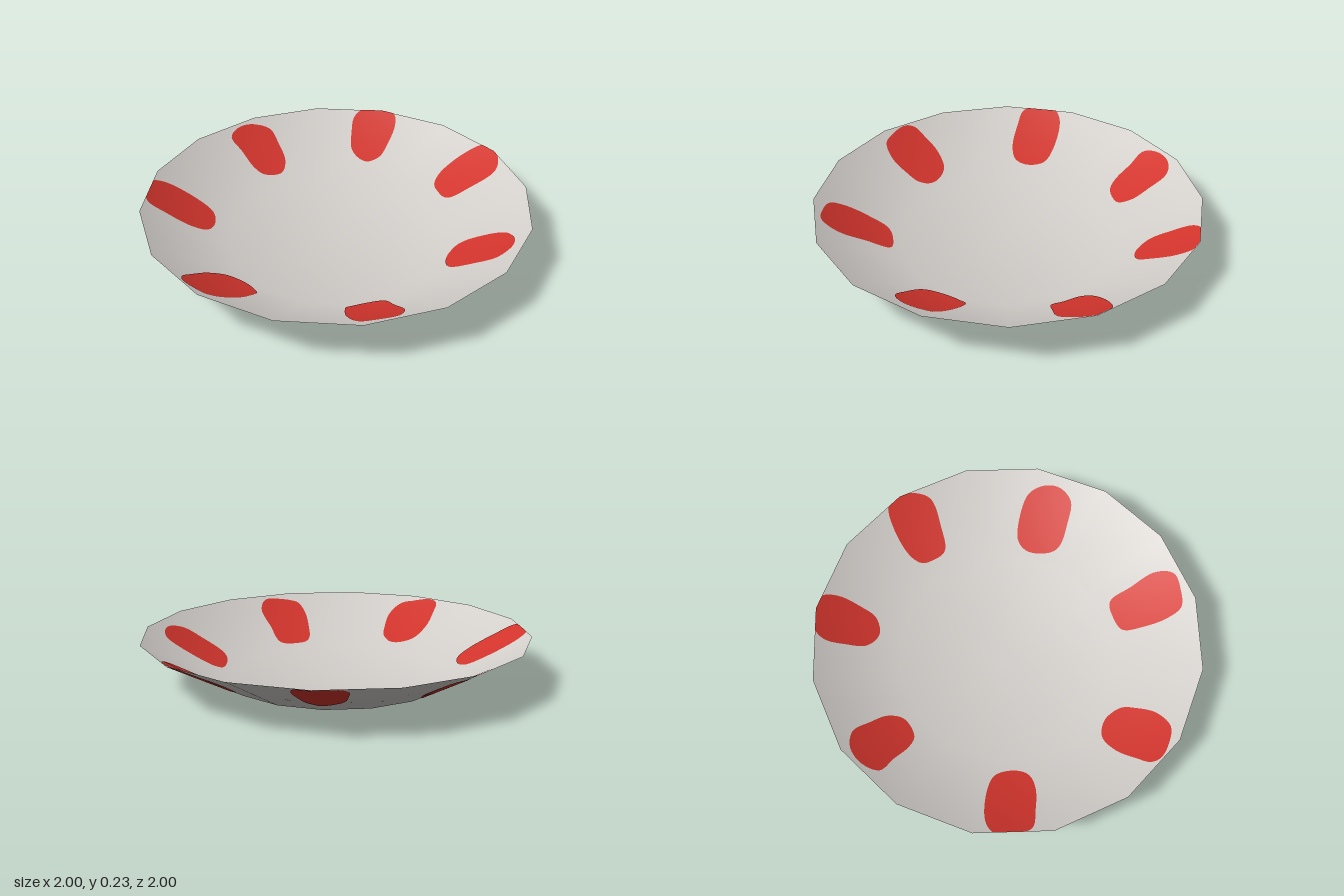
import * as THREE from 'three';

const SIDES = 16, BASE_R = 0.58, RIM_R = 1, HEIGHT = 0.23;
const SLOPE = Math.atan2(HEIGHT, RIM_R - BASE_R);

// Outlines of the painted spots as x, z pairs seen from above
const spots = {
  frontSpot: [-.02, .63, .06, .60, .155, .605, .185, .72, .21, .85, .165, .935, .07, .945, -.02, .925, -.05, .845, -.045, .72],
  leftFrontSpot: [.51, .36, .55, .245, .615, .203, .73, .24, .82, .31, .835, .39, .80, .475, .715, .52, .62, .48, .525, .415],
  leftBackSpot: [.59, -.34, .63, -.395, .77, -.45, .885, -.45, .925, -.38, .93, -.30, .89, -.22, .755, -.197, .64, -.203, .60, -.28],
  backLeftSpot: [.175, -.715, .185, -.82, .215, -.915, .275, -.95, .38, -.925, .445, -.88, .44, -.80, .38, -.70, .325, -.64, .235, -.64],
  backRightSpot: [-.52, -.76, -.47, -.84, -.375, -.88, -.29, -.855, -.25, -.77, -.22, -.675, -.245, -.60, -.35, -.567, -.405, -.60, -.465, -.685],
  rightSpot: [-.97, -.21, -.945, -.285, -.875, -.31, -.715, -.267, -.64, -.21, -.635, -.11, -.675, -.045, -.755, -.03, -.875, -.06, -.965, -.10],
  rightFrontSpot: [-.78, .54, -.74, .485, -.665, .405, -.57, .365, -.475, .41, -.44, .50, -.47, .57, -.53, .65, -.625, .69, -.715, .65, -.775, .59],
};

// Point and smooth upward normal on the sixteen-sided wall at x, z
function onDish(x, z) {
  const step = (2 * Math.PI) / SIDES;
  const angle = Math.atan2(x, z);
  const local = angle - (Math.floor(angle / step) + 0.5) * step;
  let r = Math.hypot(x, z);
  const scale = Math.cos(local) / Math.cos(step / 2);
  r = Math.min(r, RIM_R / scale);
  const t = Math.max(0, (r * scale - BASE_R) / (RIM_R - BASE_R));
  const tilt = SLOPE * (0.5 + 0.5 * t);
  const sx = Math.sin(angle), cz = Math.cos(angle);
  return {
    point: new THREE.Vector3(sx * r, t * HEIGHT, cz * r),
    normal: new THREE.Vector3(-sx * Math.sin(tilt), Math.cos(tilt), -cz * Math.sin(tilt)),
  };
}

// Thin skin that follows the wall; side is 1 for inside, -1 for outside
function spotGeometry(outline, side) {
  const rings = 10, around = 72;
  const points = [];
  for (let i = 0; i < outline.length; i += 2) points.push(new THREE.Vector3(outline[i], 0, outline[i + 1]));
  const curve = new THREE.CatmullRomCurve3(points, true, 'centripetal');
  const edge = curve.getSpacedPoints(around).slice(0, around);
  const middle = edge.reduce((sum, p) => sum.add(p), new THREE.Vector3()).divideScalar(around);
  // Keep the corners in anticlockwise order seen from above
  const area = edge.reduce((sum, p, i) => {
    const q = edge[(i + 1) % around];
    return sum + p.z * q.x - q.z * p.x;
  }, 0);
  if (area < 0) edge.reverse();

  const position = [], normal = [], index = [];
  for (let j = 0; j <= rings; j++) {
    for (const p of edge) {
      const flat = middle.clone().lerp(p, j / rings);
      const s = onDish(flat.x, flat.z);
      s.point.addScaledVector(s.normal, 0.003 * side);
      position.push(...s.point.toArray());
      normal.push(...s.normal.multiplyScalar(side).toArray());
    }
  }
  for (let j = 0; j < rings; j++) {
    for (let i = 0; i < around; i++) {
      const k = (i + 1) % around;
      const a = j * around + i, b = j * around + k, c = a + around, d = b + around;
      if (side > 0) index.push(a, c, d, a, d, b);
      else index.push(a, d, c, a, b, d);
    }
  }
  const geometry = new THREE.BufferGeometry();
  geometry.setAttribute('position', new THREE.Float32BufferAttribute(position, 3));
  geometry.setAttribute('normal', new THREE.Float32BufferAttribute(normal, 3));
  geometry.setIndex(index);
  return geometry;
}

export function createModel() {
  const group = new THREE.Group();
  group.name = 'dish';
  const grey = new THREE.MeshStandardMaterial({ color: 0xd3cfcb, side: THREE.DoubleSide });
  grey.name = 'pale grey';
  const red = new THREE.MeshStandardMaterial({ color: 0xd2342c });
  red.name = 'red';

  // Flat floor and sloping wall in one open skin
  const profile = [[0, 0], [BASE_R, 0], [RIM_R, HEIGHT]].map(([x, y]) => new THREE.Vector2(x, y));
  const bowl = new THREE.Mesh(new THREE.LatheGeometry(profile, SIDES), grey);
  bowl.name = 'bowl';
  group.add(bowl);

  // Painted spots, seen on the inside and the outside
  for (const [name, outline] of Object.entries(spots)) {
    const spot = new THREE.Group();
    spot.name = name;
    for (const side of [1, -1]) {
      const mesh = new THREE.Mesh(spotGeometry(outline, side), red);
      mesh.name = side > 0 ? 'innerPaint' : 'outerPaint';
      spot.add(mesh);
    }
    group.add(spot);
  }
  return group;
}
